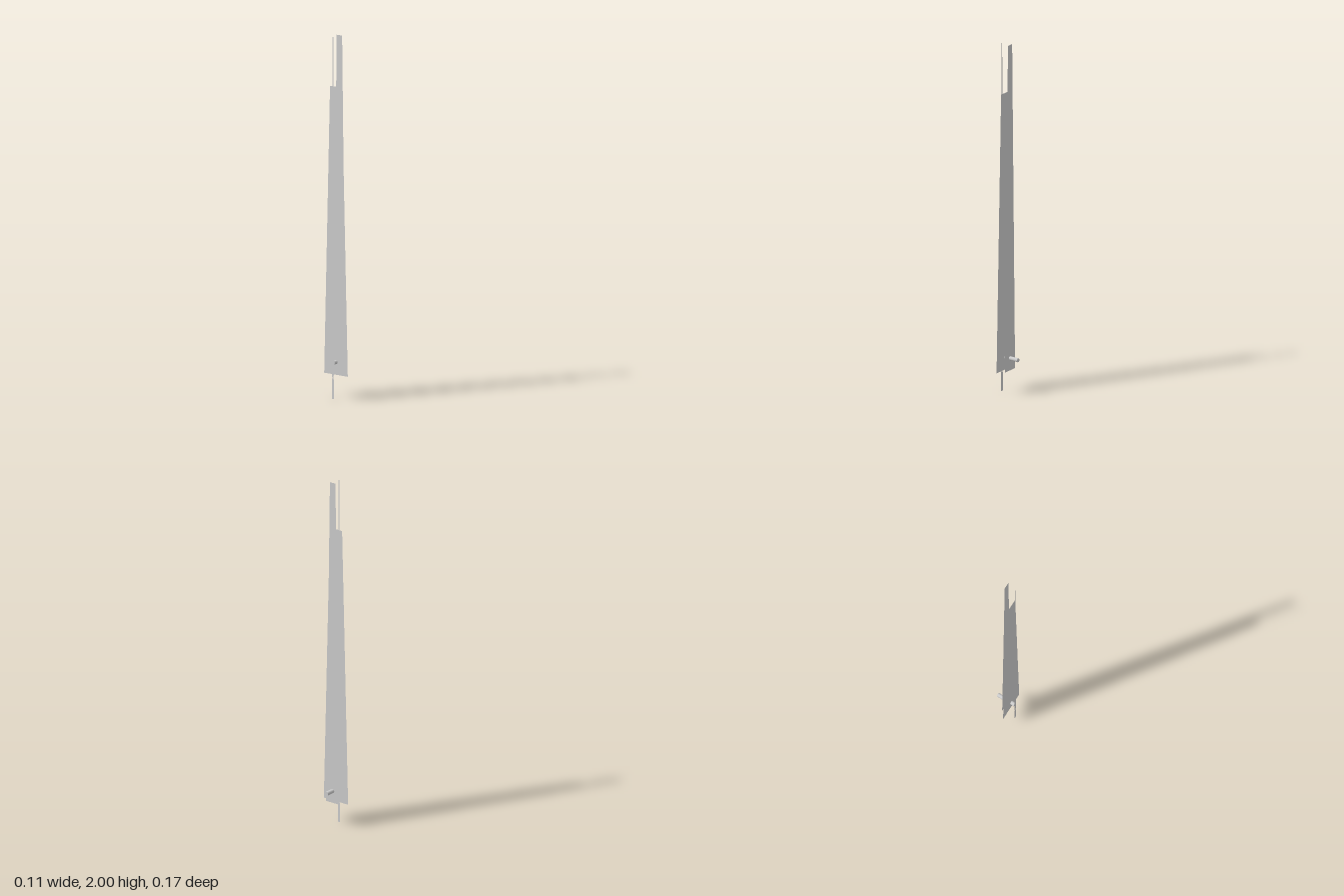
import * as THREE from 'three';

const material = new THREE.MeshStandardMaterial({ color: 0xcccccc, side: THREE.DoubleSide });

// Flat symmetric blade in the yz plane; profile lists [half width, height] upwards.
function blade(name, x, profile) {
  const right = profile.map(([w, y]) => new THREE.Vector2(w, y));
  const left = profile.map(([w, y]) => new THREE.Vector2(-w, y)).reverse();
  const geometry = new THREE.ShapeGeometry(new THREE.Shape([...right, ...left]));
  geometry.rotateY(Math.PI / 2);
  const mesh = new THREE.Mesh(geometry, material);
  mesh.name = name;
  mesh.position.x = x;
  return mesh;
}

export function createModel() {
  const group = new THREE.Group();
  group.name = 'clockHands';

  // Three paper-thin hands stacked along the pivot
  group.add(blade('minuteHand', 0, [[0.045, 0.13], [0.019, 2]]));
  group.add(blade('hourHand', -0.029, [[0.083, 0.13], [0.042, 1.72]]));
  group.add(blade('secondHand', -0.055, [
    [0.008, 0], [0.008, 0.105], [0.004, 0.115], [0.007, 0.14], [0.003, 2],
  ]));

  // Pivot pin through the hands
  const pin = new THREE.Mesh(new THREE.CylinderGeometry(0.011, 0.011, 0.107, 32), material);
  pin.name = 'pivotPin';
  pin.rotation.z = Math.PI / 2;
  pin.position.set(0.0015, 0.2, 0);
  group.add(pin);

  return group;
}
